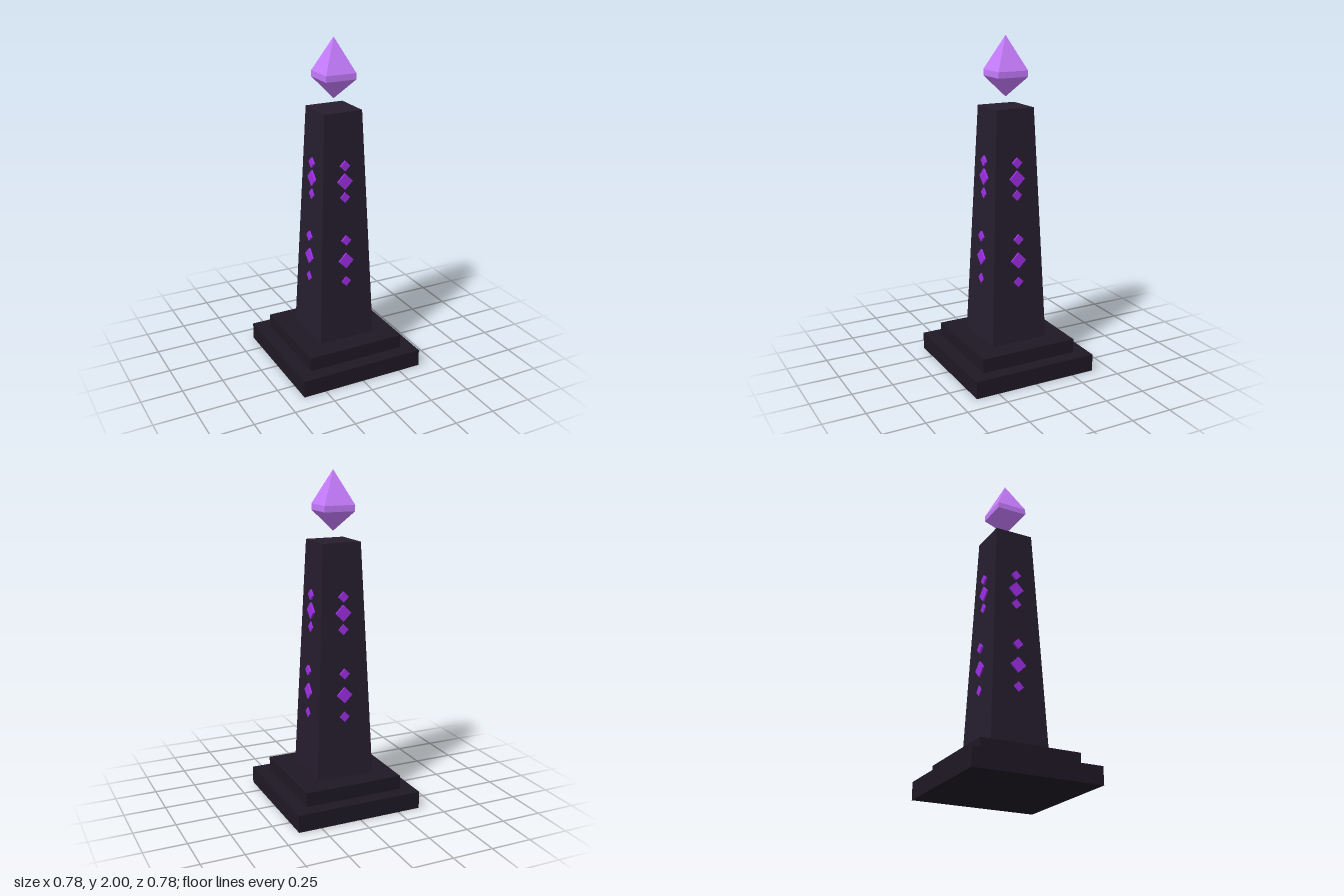
import * as THREE from 'three';

const material = (color) => new THREE.MeshStandardMaterial({ color, flatShading: true });

// Square frustum aligned with the axes, given half widths at bottom and top
function squareBlock(name, bottom, top, y0, y1, mat) {
  const geo = new THREE.CylinderGeometry(top * Math.SQRT2, bottom * Math.SQRT2, y1 - y0, 4);
  geo.rotateY(Math.PI / 4);
  geo.translate(0, (y0 + y1) / 2, 0);
  const mesh = new THREE.Mesh(geo, mat);
  mesh.name = name;
  return mesh;
}

export function createModel() {
  const model = new THREE.Group();
  model.name = 'obelisk';
  const baseMat = material(0x1e1824);
  const shaftMat = material(0x261d2e);
  const runeMat = material(0xa02ee8);
  const crystalMat = material(0xc77dff);

  // Stepped base and tapering shaft
  model.add(
    squareBlock('basePlinth', 0.39, 0.39, 0, 0.105, baseMat),
    squareBlock('baseStep', 0.305, 0.305, 0.105, 0.19, baseMat),
    squareBlock('shaft', 0.18, 0.12, 0.19, 1.595, shaftMat)
  );

  // Floating crystal: lower point, narrow girdle, taller upper point
  const crystal = new THREE.Group();
  crystal.name = 'crystal';
  crystal.add(
    squareBlock('crystalLower', 0, 0.095, 1.65, 1.767, crystalMat),
    squareBlock('crystalGirdle', 0.095, 0.095, 1.767, 1.803, crystalMat),
    squareBlock('crystalUpper', 0.095, 0, 1.803, 2, crystalMat)
  );
  model.add(crystal);

  // Two clusters of diamond runes on each face: [height, half diagonal, distance out]
  const runes = [
    [1.285, 0.032, 0.142], [1.19, 0.049, 0.142], [1.093, 0.032, 0.142],
    [0.83, 0.032, 0.162], [0.70, 0.049, 0.162], [0.567, 0.032, 0.162],
  ];
  for (let side = 0; side < 4; side++) {
    const face = new THREE.Group();
    face.name = 'runeFace';
    face.rotation.y = side * Math.PI / 2;
    for (const [y, half, z] of runes) {
      const edge = half * Math.SQRT2;
      const rune = new THREE.Mesh(new THREE.BoxGeometry(edge, edge, 0.012), runeMat);
      rune.name = 'rune';
      rune.position.set(0, y, z);
      rune.rotation.z = Math.PI / 4;
      face.add(rune);
    }
    model.add(face);
  }
  return model;
}
